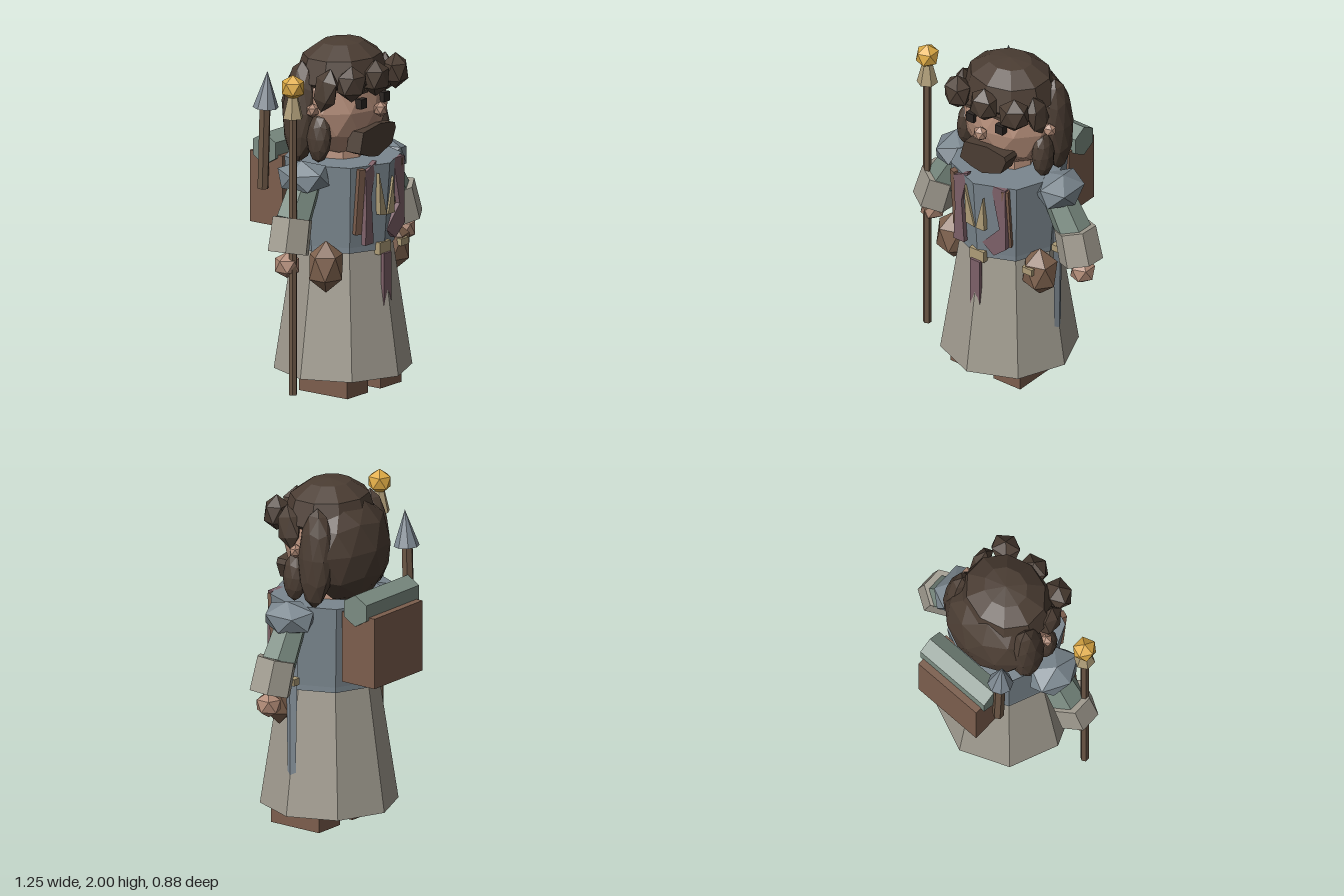
import * as THREE from 'three';

const mat = (color) => new THREE.MeshStandardMaterial({ color, flatShading: true, side: THREE.DoubleSide });
const M = {
  hair: mat(0x4b3d33), skin: mat(0xb08a76), blue: mat(0x7b878f), robe: mat(0xa19c90),
  green: mat(0x7b8c82), leather: mat(0x7c5e4d), pouch: mat(0x80634f), wood: mat(0x6b5645),
  cloth: mat(0x7d6068), tan: mat(0xae9d78), gold: mat(0xe0ac45), steel: mat(0x7f8a93), dark: mat(0x2b2522),
};

export function createModel() {
  const model = new THREE.Group();

  const add = (name, geo, material, x = 0, y = 0, z = 0, rot = [0, 0, 0]) => {
    const mesh = new THREE.Mesh(geo, material);
    mesh.name = name;
    mesh.position.set(x, y, z);
    mesh.rotation.set(...rot);
    model.add(mesh);
    return mesh;
  };
  const box = (name, m, w, h, d, x, y, z, rot) => add(name, new THREE.BoxGeometry(w, h, d), m, x, y, z, rot);
  const cyl = (name, m, rTop, rBottom, h, sides, x, y, z, rot) =>
    add(name, new THREE.CylinderGeometry(rTop, rBottom, h, sides), m, x, y, z, rot);

  // Faceted lump with the given half extents, one corner pointing up
  const lump = (name, m, half, x, y, z, rot, detail = 0) => {
    const geo = new THREE.IcosahedronGeometry(1, detail);
    geo.rotateZ(Math.atan(2 / (1 + Math.sqrt(5))));
    geo.computeBoundingBox();
    const b = geo.boundingBox.max;
    geo.scale(half[0] / b.x, half[1] / b.y, half[2] / b.z);
    return add(name, geo, m, x, y, z, rot);
  };

  // Prism between two points
  const limb = (name, m, a, b, rA, rB, sides) => {
    const p = new THREE.Vector3(...a), q = new THREE.Vector3(...b);
    const dir = p.clone().sub(q);
    const mesh = cyl(name, m, rA, rB, dir.length(), sides, (p.x + q.x) / 2, (p.y + q.y) / 2, (p.z + q.z) / 2);
    mesh.quaternion.setFromUnitVectors(new THREE.Vector3(0, 1, 0), dir.normalize());
    return mesh;
  };

  // Thin extruded outline in the front plane
  const panel = (name, m, pts, depth, z, rot) => {
    const shape = new THREE.Shape(pts.map(([x, y]) => new THREE.Vector2(x, y)));
    const geo = new THREE.ExtrudeGeometry(shape, { depth, bevelEnabled: false });
    return add(name, geo, m, 0, 0, z, rot);
  };

  // Robe and torso
  cyl('skirt', M.robe, 0.28, 0.39, 0.72, 8, 0, 0.47, 0.05);
  cyl('torso', M.blue, 0.33, 0.292, 0.47, 8, 0, 1.095, 0.05);
  cyl('belt', M.blue, 0.29, 0.29, 0.035, 8, 0, 0.845, 0.05);
  cyl('neck', M.skin, 0.12, 0.14, 0.12, 8, 0, 1.36, 0.03);

  // Mirrored body parts
  for (const s of [-1, 1]) {
    box('boot', M.leather, 0.19, 0.16, 0.34, s * 0.152, 0.08, 0.10);
    limb('upperArm', M.green, [s * 0.32, 1.27, 0.05], [s * 0.455, 1.03, 0.05], 0.09, 0.105, 6);
    limb('sleeve', M.robe, [s * 0.468, 1.055, 0.055], [s * 0.52, 0.865, 0.065], 0.12, 0.125, 6);
    lump('hand', M.skin, [0.068, 0.075, 0.068], s * 0.53, 0.80, 0.065);
    lump('shoulderPad', M.blue, [0.115, 0.10, 0.15], s * 0.36, 1.27, 0.05, [0, 0, s * -0.2]);
    lump('pouch', M.pouch, [0.1, 0.15, 0.09], s * 0.305, 0.76, 0.165);
    box('eye', M.dark, 0.052, 0.055, 0.05, s * 0.103, 1.675, 0.255);
    box('eyebrow', M.hair, 0.09, 0.018, 0.04, s * 0.103, 1.74, 0.25);
    lump('ear', M.skin, [0.04, 0.04, 0.03], s * 0.29, 1.64, 0.06);
    lump('sideLock', M.hair, [0.075, 0.29, 0.11], s * 0.255, 1.61, -0.055, [0, 0, s * 0.06], 1);
    lump('frontLock', M.hair, [0.055, 0.14, 0.075], s * 0.265, 1.48, 0.085, [0, 0, s * 0.05], 1);
    lump('templeLock', M.hair, [0.045, 0.13, 0.07], s * 0.262, 1.76, 0.13, [0.2, 0, s * 0.1]);
  }

  // Head and face
  lump('head', M.skin, [0.275, 0.29, 0.24], 0, 1.62, 0.04, [0, 0, 0], 1);
  lump('nose', M.skin, [0.04, 0.045, 0.035], 0, 1.63, 0.315);
  panel('beard', M.hair, [[-0.16, 1.4], [-0.13, 1.515], [0.03, 1.54], [0.155, 1.52], [0.165, 1.49],
    [0.13, 1.405], [0, 1.355], [-0.08, 1.37]], 0.1, 0.195);

  // Hair: cap, back mass and fringe
  const cap = [[0, 2], [0.13, 1.985], [0.24, 1.915], [0.285, 1.78], [0.25, 1.75]];
  const capGeo = new THREE.LatheGeometry(cap.map(([r, y]) => new THREE.Vector2(r, y)).reverse(), 10);
  capGeo.scale(1, 1, 0.88);
  add('hairCap', capGeo, M.hair, 0, 0, 0.045);
  lump('backHair', M.hair, [0.29, 0.31, 0.205], 0, 1.62, -0.08, [0.08, 0, 0], 1);
  for (const x of [-0.2, 0, 0.2]) {
    lump('fringe', M.hair, [0.085, 0.105, 0.068], x, 1.805, x ? 0.265 : 0.28, [0, x * 2, 0]);
  }

  // Straps, scarf ends and collar points on the chest
  box('strapRight', M.leather, 0.04, 0.38, 0.04, -0.18, 1.13, 0.3, [0.08, -0.35, 0]);
  box('strapLeft', M.leather, 0.04, 0.38, 0.04, 0.18, 1.13, 0.3, [0.08, 0.35, 0]);
  panel('scarfRight', M.cloth, [[-0.17, 1.3], [-0.07, 1.35], [-0.115, 1.15], [-0.095, 0.88], [-0.17, 0.88], [-0.16, 1.1]],
    0.03, 0.31);
  panel('scarfLeft', M.cloth, [[0.09, 1.33], [0.19, 1.33], [0.195, 0.94], [0.11, 0.87], [0.03, 0.93], [0.15, 1.06]],
    0.03, 0.305);
  panel('collarPointRight', M.tan, [[-0.075, 1.28], [-0.065, 1.04], [-0.005, 1.03]], 0.03, 0.335);
  panel('collarPointLeft', M.tan, [[0.055, 1.24], [0.005, 1.03], [0.065, 1.03]], 0.03, 0.335);

  // Belt fittings
  box('beltBuckle', M.tan, 0.1, 0.07, 0.04, 0, 0.838, 0.33);
  panel('beltCloth', M.cloth, [[-0.035, 0.81], [0.035, 0.81], [0.035, 0.53], [0.015, 0.58], [-0.035, 0.5]], 0.02, 0.345);
  box('pouchClasp', M.tan, 0.07, 0.04, 0.03, 0.29, 0.8, 0.25);

  // Sword at the left hip
  const blade = new THREE.CylinderGeometry(0.042, 0.028, 0.74, 4);
  blade.scale(0.5, 1, 1);
  add('swordBlade', blade, M.steel, 0.34, 0.7, 0.05);
  box('swordGuard', M.tan, 0.05, 0.04, 0.12, 0.37, 0.905, 0.05);

  // Staff
  cyl('staffPole', M.wood, 0.024, 0.024, 1.61, 6, -0.535, 0.865, 0.11);
  cyl('staffCollar', M.tan, 0.03, 0.06, 0.12, 6, -0.535, 1.715, 0.11);
  lump('staffOrb', M.gold, [0.063, 0.073, 0.063], -0.535, 1.83, 0.11);

  // Backpack, bedroll and spear
  box('backpack', M.leather, 0.435, 0.41, 0.23, 0, 1.115, -0.325);
  cyl('bedroll', M.green, 0.092, 0.092, 0.48, 6, 0, 1.35, -0.32, [0, 0, Math.PI / 2]).rotation.set(Math.PI / 2, 0, Math.PI / 2);
  limb('spearShaft', M.wood, [-0.265, 1.62, -0.295], [-0.265, 1.13, -0.31], 0.033, 0.033, 6);
  add('spearHead', new THREE.ConeGeometry(0.073, 0.21, 8), M.steel, -0.265, 1.705, -0.285, [0.06, 0, 0]);

  return model;
}
